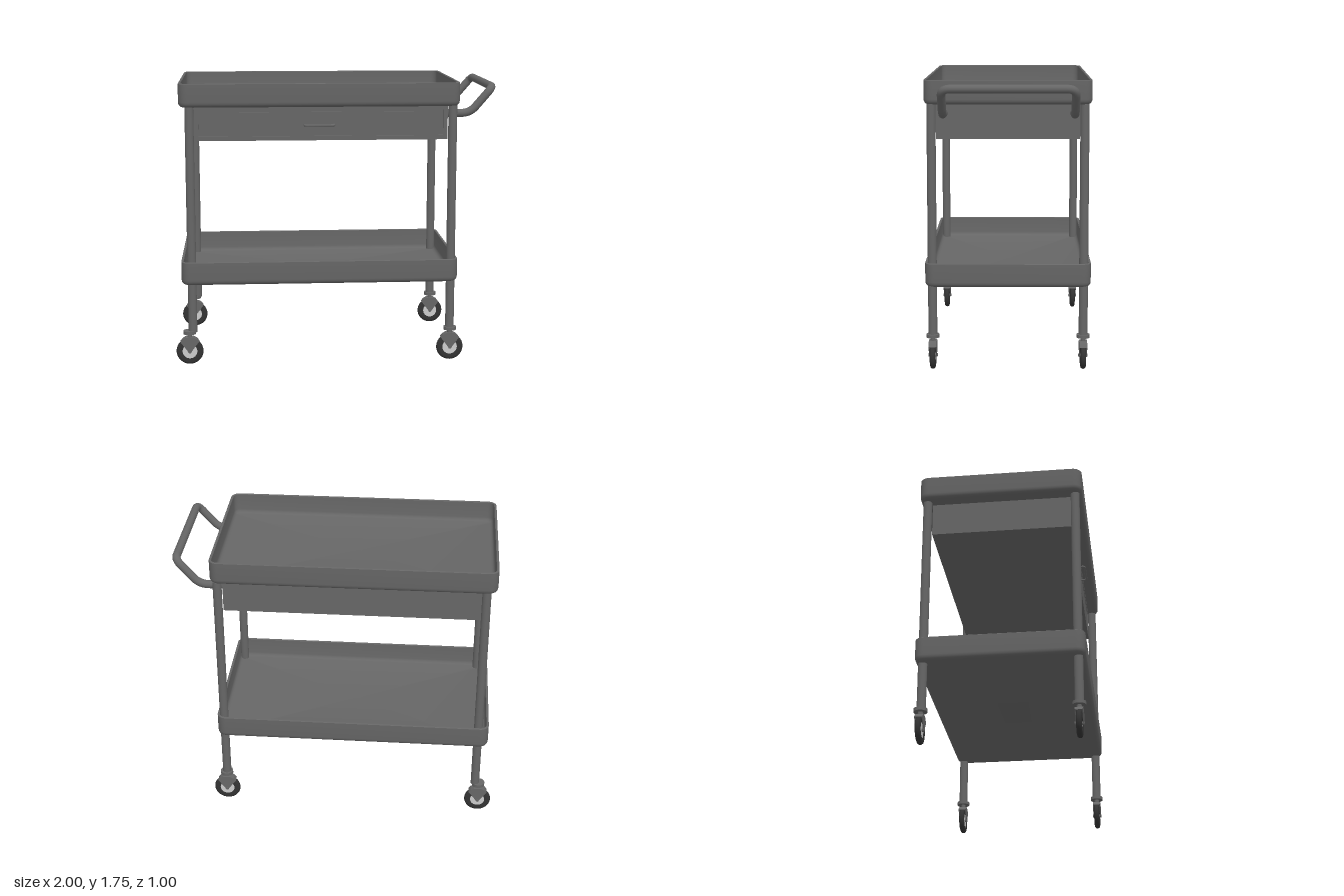
import * as THREE from 'three';
import { toCreasedNormals, mergeVertices } from 'three/addons/utils/BufferGeometryUtils.js';

const paint = new THREE.MeshStandardMaterial({ color: 0x666666 });
const rubber = new THREE.MeshStandardMaterial({ color: 0x333333 });
const hubGrey = new THREE.MeshStandardMaterial({ color: 0xcccccc });

function add(parent, name, geometry, x = 0, y = 0, z = 0, material = paint) {
  const mesh = new THREE.Mesh(geometry, material);
  mesh.name = name;
  mesh.position.set(x, y, z);
  parent.add(mesh);
  return mesh;
}

// Shallow pan: a [inset, y] profile swept around a rounded rectangle
function trayGeometry(halfX, halfZ, radius, profile) {
  const perCorner = 9, n = perCorner * 4, pos = [], index = [];
  for (const [inset, y] of profile) {
    for (let c = 0; c < 4; c++) {
      const sx = c === 0 || c === 3 ? 1 : -1, sz = c < 2 ? 1 : -1;
      for (let k = 0; k < perCorner; k++) {
        const a = (c + k / (perCorner - 1)) * Math.PI / 2;
        const r = Math.max(radius - inset, 0.006);
        const x = sx * (halfX - inset - r) + r * Math.cos(a);
        const z = sz * (halfZ - inset - r) + r * Math.sin(a);
        // a null inset closes the surface at the centre
        pos.push(inset === null ? 0 : x, y, inset === null ? 0 : z);
      }
    }
  }
  for (let i = 0; i < profile.length - 1; i++) {
    for (let j = 0; j < n; j++) {
      const a = i * n + j, b = i * n + (j + 1) % n;
      if (profile[i][0] !== null) index.push(a, a + n, b);
      if (profile[i + 1][0] !== null) index.push(b, a + n, b + n);
    }
  }
  const g = new THREE.BufferGeometry();
  g.setAttribute('position', new THREE.Float32BufferAttribute(pos, 3));
  g.setIndex(index);
  return toCreasedNormals(mergeVertices(g), 0.7);
}

// Pipe following straight runs joined by rounded bends
function pipe(points, bend, radius, segments) {
  const v = points.map(p => new THREE.Vector3(...p));
  const path = new THREE.CurvePath();
  let last = v[0];
  for (let i = 1; i < v.length - 1; i++) {
    const into = v[i].clone().add(v[i - 1].clone().sub(v[i]).setLength(bend));
    const out = v[i].clone().add(v[i + 1].clone().sub(v[i]).setLength(bend));
    path.add(new THREE.LineCurve3(last, into));
    path.add(new THREE.QuadraticBezierCurve3(into, v[i], out));
    last = out;
  }
  path.add(new THREE.LineCurve3(last, v[v.length - 1]));
  return new THREE.TubeGeometry(path, segments, radius, 14, false);
}

function plate(points, depth) {
  const shape = new THREE.Shape(points.map(p => new THREE.Vector2(...p)));
  return new THREE.ExtrudeGeometry(shape, { depth, bevelEnabled: false }).translate(0, 0, -depth / 2);
}

function createCaster() {
  const caster = new THREE.Group();
  caster.name = 'caster';
  add(caster, 'swivelFlange', new THREE.CylinderGeometry(0.04, 0.04, 0.02, 28), 0, 0.205);
  add(caster, 'stem', new THREE.CylinderGeometry(0.015, 0.015, 0.04, 16), 0, 0.185);
  // Fork: crown and two tapering cheeks
  add(caster, 'forkCrown', plate([[-0.058, 0.145], [0.058, 0.145], [0.045, 0.162],
    [0.024, 0.175], [-0.024, 0.175], [-0.045, 0.162]], 0.048));
  for (const s of [1, -1]) {
    add(caster, 'forkCheek', plate([[-0.058, 0.147], [-0.014, 0.088], [-0.008, 0.075],
      [0.008, 0.075], [0.014, 0.088], [0.058, 0.147]], 0.005), 0, 0, s * 0.0215);
  }
  // Wheel
  const tyre = [[0.046, -0.014], [0.068, -0.017], [0.077, -0.014], [0.082, -0.008], [0.084, 0],
    [0.082, 0.008], [0.077, 0.014], [0.068, 0.017], [0.046, 0.014], [0.046, -0.014]];
  const tyreGeometry = new THREE.LatheGeometry(tyre.map(p => new THREE.Vector2(...p)), 40);
  add(caster, 'tyre', toCreasedNormals(tyreGeometry, 0.7).rotateX(Math.PI / 2), 0, 0.084, 0, rubber);
  add(caster, 'hub', new THREE.CylinderGeometry(0.047, 0.047, 0.024, 32).rotateX(Math.PI / 2), 0, 0.084, 0, hubGrey);
  add(caster, 'axle', new THREE.CylinderGeometry(0.01, 0.01, 0.056, 12).rotateX(Math.PI / 2), 0, 0.084);
  return caster;
}

function rectanglePath(target, x, y) {
  target.moveTo(-x, -y);
  target.lineTo(x, -y);
  target.lineTo(x, y);
  target.lineTo(-x, y);
  target.closePath();
  return target;
}

function createDrawer() {
  const drawer = new THREE.Group();
  drawer.name = 'drawer';
  const halfX = 0.779, halfY = 0.105, front = 0.43;
  add(drawer, 'drawerBox', new THREE.BoxGeometry(2 * halfX, 2 * halfY, 2 * front - 0.015), 0, 0, -0.0075);
  // Front frame around the inset panel
  const frame = rectanglePath(new THREE.Shape(), halfX, halfY);
  frame.holes.push(rectanglePath(new THREE.Path(), 0.752, 0.079));
  add(drawer, 'drawerFrame', new THREE.ExtrudeGeometry(frame, { depth: 0.015, bevelEnabled: false }),
    0, 0, front - 0.015);
  add(drawer, 'drawerPanel', new THREE.BoxGeometry(1.484, 0.138, 0.012), 0, 0, front - 0.009);
  add(drawer, 'drawerPull', pipe([[-0.09, 0, front - 0.005], [-0.09, 0, front + 0.035],
    [0.09, 0, front + 0.035], [0.09, 0, front - 0.005]], 0.015, 0.007, 60), -0.013, -0.01);
  return drawer;
}

export function createModel() {
  const cart = new THREE.Group();
  cart.name = 'serviceCart';

  // Two identical trays
  const tray = trayGeometry(0.86, 0.5, 0.055, [[null, 0], [0.03, 0], [0.018, 0.003], [0.008, 0.01],
    [0.002, 0.02], [0, 0.032], [0, 0.143], [0.003, 0.146], [0.012, 0.146], [0.015, 0.143],
    [0.015, 0.04], [0.018, 0.028], [0.026, 0.019], [0.038, 0.015], [null, 0.015]]);
  add(cart, 'upperTray', tray, -0.1, 1.609);
  add(cart, 'lowerTray', tray, -0.1, 0.509);

  // Drawer under the upper tray
  const drawer = createDrawer();
  drawer.position.set(-0.089, 1.505, 0);
  cart.add(drawer);

  // Legs and casters
  const leg = new THREE.CylinderGeometry(0.027, 0.027, 1.405, 24);
  for (const z of [0.456, -0.456]) {
    for (const [legX, casterX] of [[-0.895, -0.916], [0.717, 0.719]]) {
      add(cart, 'leg', leg, legX, 0.91, z);
      const caster = createCaster();
      caster.position.set(casterX, 0, z);
      cart.add(caster);
    }
  }

  // Push handle
  add(cart, 'pushHandle', pipe([[0.68, 1.557, 0.382], [0.835, 1.557, 0.382], [0.974, 1.718, 0.382],
    [0.974, 1.718, -0.394], [0.835, 1.557, -0.394], [0.68, 1.557, -0.394]], 0.055, 0.025, 160));
  return cart;
}
